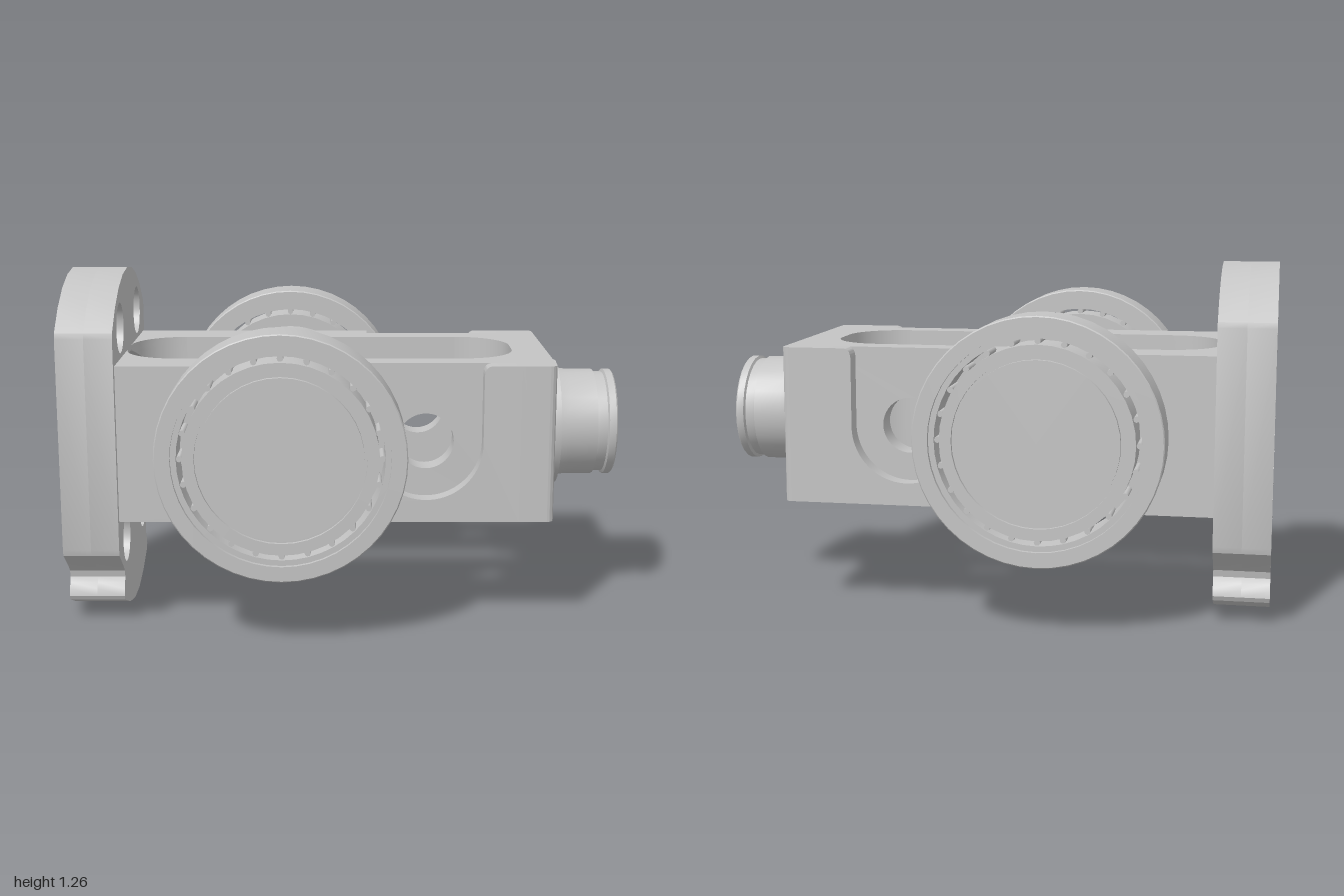
import * as THREE from 'three';
import { toCreasedNormals } from 'three/addons/utils/BufferGeometryUtils.js';

const CY = 0.681, Y0 = 0.4, Y1 = 0.962;       // axis height, body bottom and top
const SLOT = 0.24, R = 0.19, BORE = 0.265;    // slot half width, slot corner radius, flange bore
const steel = new THREE.MeshStandardMaterial({ color: 0xc4c4c4, side: THREE.DoubleSide });
steel.name = 'steel grey';

function part(name, geometry, parent) {
  const mesh = new THREE.Mesh(geometry, steel);
  mesh.name = name;
  parent.add(mesh);
  return mesh;
}
const pts = (list) => list.map(([x, y]) => new THREE.Vector2(x, y));
const extrude = (shape, depth) =>
  toCreasedNormals(new THREE.ExtrudeGeometry(shape, { depth, bevelEnabled: false, curveSegments: 20 }), 0.5);
const lathe = (profile, sides) => toCreasedNormals(new THREE.LatheGeometry(pts(profile), sides), 0.5);

function hole(shape, x, y, r) {
  shape.holes.push(new THREE.Path().absarc(x, y, r, 0, Math.PI * 2, true));
}

// surface through a grid of points given by f(u, v)
function gridSurface(f, nu, nv) {
  const g = new THREE.PlaneGeometry(1, 1, nu, nv);
  const p = g.attributes.position, uv = g.attributes.uv;
  for (let i = 0; i < p.count; i++) p.setXYZ(i, ...f(uv.getX(i), uv.getY(i)));
  g.computeVertexNormals();
  return g;
}

// half of the flange outline: flat side, round top, notched foot on a larger radius;
// the inner edge follows the bore and, if given, half a hole above it
function flangeHalf(topHole) {
  const shape = new THREE.Shape();
  shape.moveTo(0, 0.003);
  for (const [x, y] of [[0.065, 0.003], [0.19, 0.031], [0.32, 0.083], [0.328, 0.1], [0.322, 0.125], [0.308, 0.145],
    [0.3, 0.165], [0.305, 0.19], [0.33, 0.213], [0.42, 0.281], [0.425, 0.303], [0.425, 1.062]]) shape.lineTo(x, y);
  for (let i = 4; i >= 0; i--) {
    const a = i * 0.2025;
    shape.lineTo(0.58 * Math.sin(a), CY + 0.58 * Math.cos(a));
  }
  if (topHole) shape.absarc(0, CY + 0.41, topHole, Math.PI / 2, -Math.PI / 2, true);
  shape.absarc(0, CY, BORE, Math.PI / 2, -Math.PI / 2, true);
  shape.lineTo(0, 0.003);
  return shape;
}

function addFlange(root) {
  const flange = new THREE.Group();
  flange.name = 'flange';
  root.add(flange);
  const outer = flangeHalf(0.06), inner = flangeHalf(0);
  for (const [x, y] of [[0.225, 0.295], [0.226, 1.07]]) {
    hole(outer, x, y, 0.053);
    hole(inner, x, y, 0.09);
  }
  // blind hole beside the bore
  hole(outer, 0.355, CY - 0.205, 0.06);
  for (const s of [1, -1]) {
    const half = new THREE.Group();
    half.name = s > 0 ? 'flangeFrontHalf' : 'flangeBackHalf';
    half.scale.z = s;
    flange.add(half);
    part('flangeOuterPlate', extrude(outer, 0.1).rotateY(Math.PI / 2), half).position.x = -1;
    part('flangeInnerPlate', extrude(inner, 0.1).rotateY(Math.PI / 2), half).position.x = -0.9;
  }
}

// one side of the fork: wall, slot corners and bearing, built towards +z
function makeSide() {
  const side = new THREE.Group();

  // inner wall layer with cross hole
  const inner = new THREE.Shape(pts([[-0.8, Y0], [0.62, Y0], [0.62, Y1], [-0.8, Y1]]));
  hole(inner, 0.29, CY, 0.1);
  part('wallInner', extrude(inner, 0.335 - SLOT), side).position.z = SLOT;

  // outer wall layer with U-shaped pocket
  const outer = new THREE.Shape();
  outer.moveTo(-0.8, Y0);
  outer.lineTo(0.62, Y0);
  outer.lineTo(0.62, Y1);
  outer.lineTo(0.52, Y1);
  outer.quadraticCurveTo(0.49, Y1, 0.49, Y1 - 0.04);
  outer.lineTo(0.49, CY);
  outer.absarc(0.29, CY, 0.2, 0, -Math.PI, true);
  outer.lineTo(0.09, Y1);
  outer.lineTo(-0.8, Y1);
  part('wallOuter', extrude(outer, 0.065), side).position.z = 0.335;

  // rounded slot corners
  const zc = SLOT - R;
  const depthAt = (z) => R - Math.sqrt(Math.max(0, R * R - (z - zc) ** 2));
  const corner = [];
  for (let i = 0; i <= 10; i++) {
    const a = i / 10 * Math.PI / 2;
    corner.push([R - R * Math.cos(a), zc + R * Math.sin(a)]);
  }
  corner.push([0, SLOT]);
  const cornerShape = new THREE.Shape(pts(corner));
  const far = part('slotCorner', extrude(cornerShape, Y1 - Y0).rotateX(Math.PI / 2), side);
  far.position.set(0.62, Y1, 0);
  far.scale.x = -1;
  // flat caps of the flange-end corners, the upper one facing up
  for (const y of [Y0, Y1]) {
    const cap = part('slotCornerCap', new THREE.ShapeGeometry(cornerShape).rotateX(Math.PI / 2), side);
    cap.position.set(-0.8, y, 0);
    if (y === Y1) cap.scale.y = -1;
  }

  // corners at the flange end, cut by the bore
  const cutZ = (y) => Math.min(SLOT, Math.max(zc, Math.sqrt(Math.max(0, BORE ** 2 - (y - CY) ** 2))));
  const yAt = (v) => Y0 + (Y1 - Y0) * v;
  part('boredCorner', gridSurface((u, v) => {
    const y = yAt(v), z0 = cutZ(y), z = z0 + (SLOT - z0) * Math.sin(u * Math.PI / 2);
    return [-0.8 + depthAt(z), y, z];
  }, 10, 48), side);
  part('boredCornerEdge', gridSurface((u, v) => {
    const y = yAt(v), z = cutZ(y);
    return [-0.8 + depthAt(z) * u, y, z];
  }, 1, 48), side);

  // roller bearing on its journal
  const bearing = new THREE.Group();
  bearing.name = 'bearing';
  bearing.position.set(-0.215, CY, 0);
  side.add(bearing);
  part('bearingOuterRing', lathe([[0.355, 0.475], [0.375, 0.475], [0.375, 0.465], [0.427, 0.465], [0.431, 0.469],
    [0.431, 0.626], [0.427, 0.63], [0.375, 0.63], [0.375, 0.615], [0.355, 0.615], [0.355, 0.475]], 48)
    .rotateX(Math.PI / 2), bearing);
  part('journal', lathe([[0, 0.39], [0.287, 0.39], [0.287, 0.475], [0.335, 0.475], [0.335, 0.625], [0.294, 0.625],
    [0.294, 0.612], [0.284, 0.612], [0.284, 0.63], [0, 0.63]], 40).rotateX(Math.PI / 2), bearing);
  for (let i = 0; i < 24; i++) {
    const a = i / 24 * Math.PI * 2;
    part('roller', new THREE.CylinderGeometry(0.011, 0.011, 0.12, 8).rotateX(Math.PI / 2), bearing)
      .position.set(0.345 * Math.cos(a), 0.345 * Math.sin(a), 0.545);
  }
  return side;
}

export function createModel() {
  const root = new THREE.Group();
  root.name = 'bearingFork';
  addFlange(root);

  for (const s of [1, -1]) {
    const side = makeSide();
    side.name = s > 0 ? 'frontSide' : 'backSide';
    side.scale.z = s;
    root.add(side);
  }

  // closed end of the fork with rounded upright edges
  const end = new THREE.Shape();
  end.moveTo(0.62, -0.4);
  end.lineTo(0.72, -0.4);
  end.absarc(0.72, -0.375, 0.025, -Math.PI / 2, 0, false);
  end.absarc(0.72, 0.375, 0.025, 0, Math.PI / 2, false);
  end.lineTo(0.62, 0.4);
  part('endBlock', extrude(end, Y1 - Y0).rotateX(Math.PI / 2), root).position.y = Y1;

  // shaft stub with collar and ring groove
  part('shaftStub', lathe([[0, 0.74], [0.232, 0.74], [0.232, 0.79], [0.203, 0.79], [0.197, 0.83], [0.197, 0.928],
    [0.187, 0.928], [0.187, 0.938], [0.187, 0.965], [0.197, 0.97], [0.197, 0.995], [0.192, 1], [0, 1]], 28)
    .rotateZ(-Math.PI / 2), root).position.y = CY;
  return root;
}
